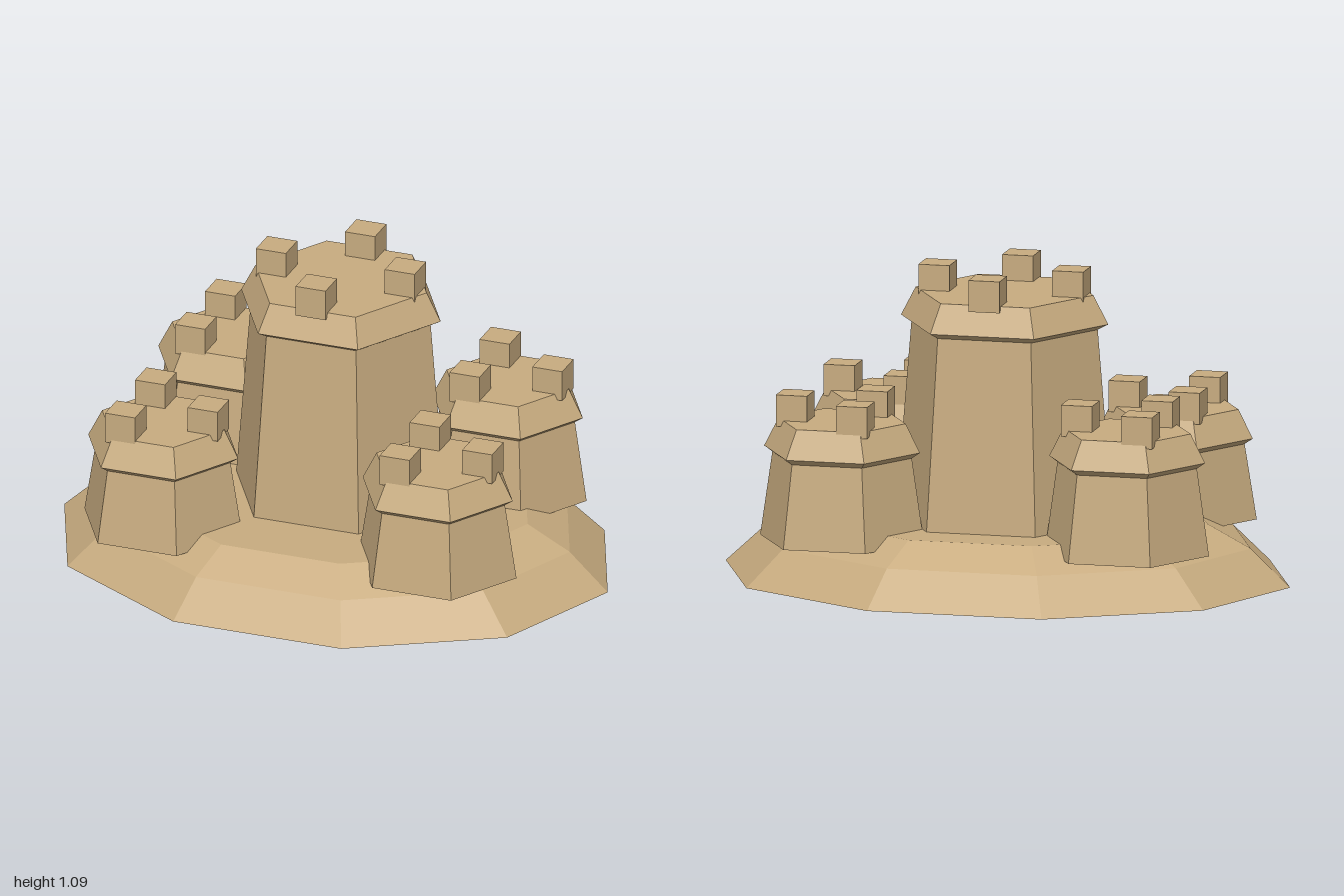
import * as THREE from 'three';

const sand = new THREE.MeshStandardMaterial({ color: 0xc8ac80, flatShading: true });
sand.name = 'sand';

// Faceted solid of revolution with a corner on the x axis
function faceted(name, profile, sides) {
  const points = profile.map(([r, y]) => new THREE.Vector2(r, y));
  const mesh = new THREE.Mesh(new THREE.LatheGeometry(points, sides, Math.PI / 2), sand);
  mesh.name = name;
  return mesh;
}

// Hexagonal tower: tapered wall, flared cap and a ring of cube merlons
function tower({ name, x, z, bottom, top, radii, merlons, ring }) {
  const [foot, neck, rim, roof] = radii;
  const group = new THREE.Group();
  group.name = name;
  group.position.set(x, 0, z);
  group.add(faceted('wall', [[0, bottom], [foot, bottom], [neck, top - 0.12]], 6));
  group.add(faceted('cap', [
    [0, top - 0.12], [neck, top - 0.12], [rim, top - 0.1], [roof, top], [0, top],
  ], 6));
  for (let i = 0; i < merlons; i++) {
    const a = (i / merlons) * Math.PI * 2;
    const merlon = new THREE.Mesh(new THREE.BoxGeometry(0.11, 0.11, 0.11), sand);
    merlon.name = 'merlon';
    merlon.position.set(Math.cos(a) * ring, top + 0.035, Math.sin(a) * ring);
    group.add(merlon);
  }
  return group;
}

export function createModel() {
  const model = new THREE.Group();
  model.name = 'sandcastle';

  // Oval ten-sided mound
  const mound = faceted('mound', [[0, 0], [1, 0], [0.86, 0.13], [0.705, 0.21], [0, 0.21]], 10);
  mound.scale.z = 0.795;
  model.add(mound);

  // Central keep
  model.add(tower({
    name: 'keep', x: 0, z: -0.048, bottom: 0.2, top: 1.0,
    radii: [0.386, 0.33, 0.367, 0.315], merlons: 4, ring: 0.237,
  }));

  // Corner towers of slightly different heights
  const corners = [
    ['frontLeftTower', 0.503, 0.335, 0.555],
    ['frontRightTower', -0.507, 0.335, 0.547],
    ['backLeftTower', 0.503, -0.337, 0.577],
    ['backRightTower', -0.507, -0.337, 0.59],
  ];
  for (const [name, x, z, top] of corners) {
    model.add(tower({
      name, x, z, top, bottom: 0.165,
      radii: [0.29, 0.247, 0.276, 0.225], merlons: 3, ring: 0.166,
    }));
  }
  return model;
}
